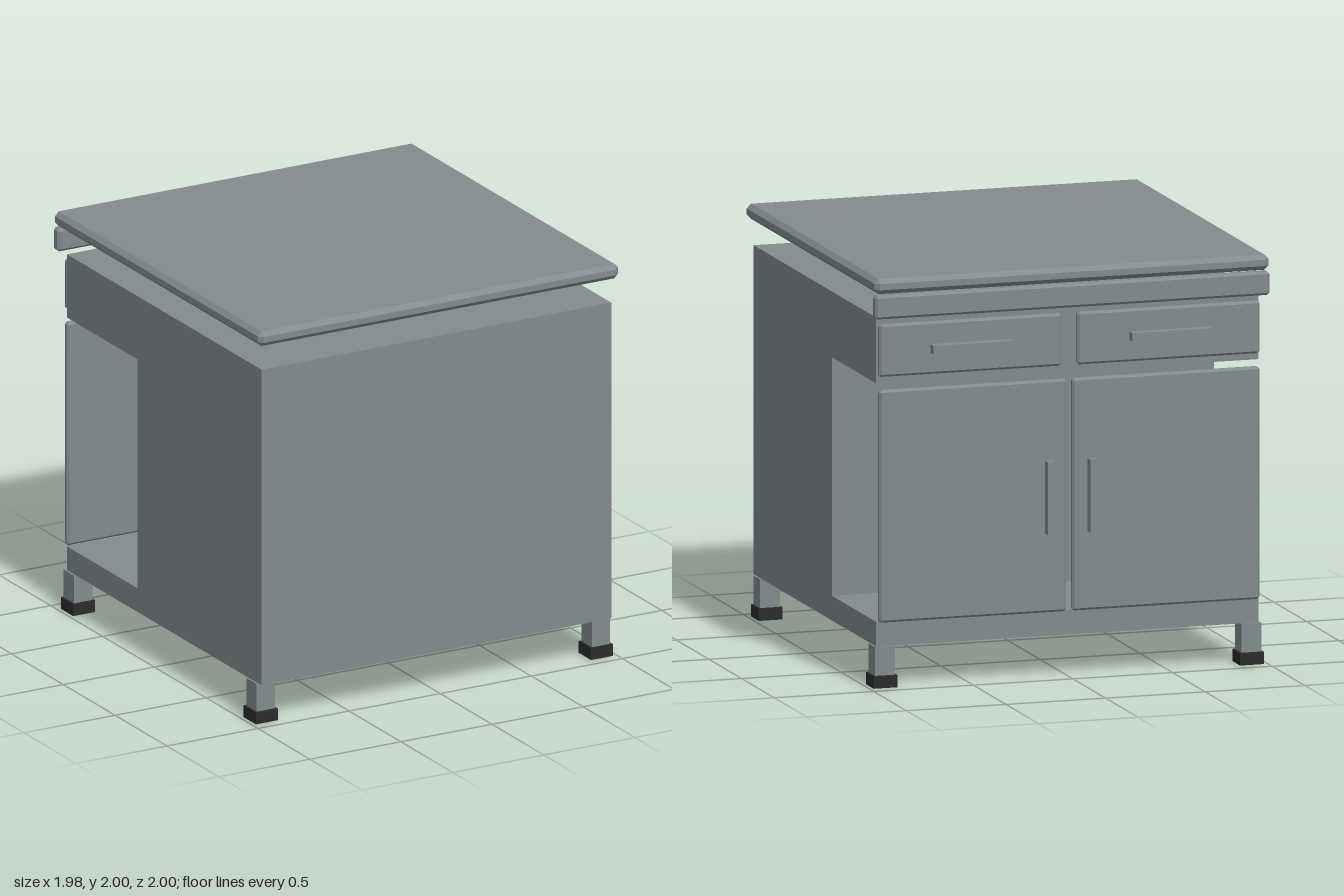
import * as THREE from 'three';
import { ConvexGeometry } from 'three/addons/geometries/ConvexGeometry.js';

const steel = new THREE.MeshStandardMaterial({ color: 0x838b8e, side: THREE.DoubleSide });
steel.name = 'brushed steel';
const rubber = new THREE.MeshStandardMaterial({ color: 0x2c2c2c });
rubber.name = 'black rubber';

// Box with all twelve edges chamfered by c
function chamferBox(w, h, d, c) {
  const points = [];
  for (const sx of [-1, 1]) for (const sy of [-1, 1]) for (const sz of [-1, 1]) {
    const x = w / 2, y = h / 2, z = d / 2;
    points.push(
      new THREE.Vector3(sx * x, sy * (y - c), sz * (z - c)),
      new THREE.Vector3(sx * (x - c), sy * y, sz * (z - c)),
      new THREE.Vector3(sx * (x - c), sy * (y - c), sz * z));
  }
  return new ConvexGeometry(points);
}

// Part filling the given x, y and z ranges, chamfered when c is set
function block(parent, name, [x0, x1], [y0, y1], [z0, z1], material, c = 0) {
  const size = [x1 - x0, y1 - y0, z1 - z0];
  const geometry = c ? chamferBox(...size, c) : new THREE.BoxGeometry(...size);
  const mesh = new THREE.Mesh(geometry, material);
  mesh.name = name;
  mesh.position.set((x0 + x1) / 2, (y0 + y1) / 2, (z0 + z1) / 2);
  parent.add(mesh);
  return mesh;
}

// Sheet-metal carcass: C-shaped side panels joined by flat sheets, open underneath
function buildCarcass() {
  const carcass = new THREE.Group();
  carcass.name = 'carcass';
  const half = 0.96;
  const profile = [ // [z, y]
    [0.965, 0.2], [0.965, 1.8], [-0.915, 1.8], [-0.915, 1.48],
    [-0.235, 1.48], [-0.235, 0.32], [-0.915, 0.32], [-0.915, 0.2],
  ];
  const outline = new THREE.Shape(profile.map(([z, y]) => new THREE.Vector2(-z, y)));
  for (const s of [-1, 1]) {
    const side = new THREE.Mesh(new THREE.ShapeGeometry(outline), steel);
    side.name = 'sidePanel';
    side.rotation.y = Math.PI / 2;
    side.position.x = s * half;
    carcass.add(side);
  }
  const sheet = (name, [z0, y0], [z1, y1]) => {
    const mesh = new THREE.Mesh(new THREE.PlaneGeometry(2 * half, Math.hypot(z1 - z0, y1 - y0)), steel);
    mesh.name = name;
    mesh.position.set(0, (y0 + y1) / 2, (z0 + z1) / 2);
    mesh.rotation.x = Math.atan2(z1 - z0, y1 - y0);
    carcass.add(mesh);
  };
  const names = ['rearSheet', 'topSheet', 'drawerFrame', 'drawerFloor', 'compartmentWall', 'compartmentFloor', 'plinth'];
  names.forEach((name, i) => sheet(name, profile[i], profile[i + 1]));
  sheet('lowerDivider', [-0.235, 0.2], [-0.235, 0.32]);
  return carcass;
}

// Square leg in a rubber foot with a recessed underside
function buildLeg(x, z) {
  const leg = new THREE.Group();
  leg.name = 'leg';
  leg.position.set(x, 0, z);
  block(leg, 'legPost', [-0.05, 0.05], [0.06, 0.2], [-0.05, 0.05], steel);
  const square = (r, Type) => new Type([[-r, -r], [r, -r], [r, r], [-r, r]].map(p => new THREE.Vector2(...p)));
  const outline = square(0.06, THREE.Shape);
  outline.holes.push(square(0.025, THREE.Path));
  const foot = new THREE.Mesh(new THREE.ExtrudeGeometry(outline, { depth: 0.06, bevelEnabled: false }), rubber);
  foot.name = 'rubberFoot';
  foot.rotation.x = -Math.PI / 2;
  leg.add(foot);
  block(leg, 'footRecess', [-0.025, 0.025], [0.04, 0.06], [-0.025, 0.025], rubber);
  return leg;
}

export function createModel() {
  const model = new THREE.Group();
  model.name = 'cabinet';
  model.add(buildCarcass());

  // Raised worktop and the rail beneath its edge
  block(model, 'worktop', [-0.99, 0.99], [1.926, 2], [-1, 1], steel, 0.022);
  block(model, 'edgeRail', [-0.99, 0.99], [1.805, 1.92], [-1, -0.945], steel, 0.012);

  // Mirrored drawers, doors, handles and legs
  for (const s of [-1, 1]) {
    const span = (a, b) => (s > 0 ? [a, b] : [-b, -a]);
    block(model, 'drawerFront', span(0.04, 0.955), [1.515, 1.77], [-0.952, -0.915], steel, 0.011);
    block(model, 'drawerHandle', span(0.3, 0.7), [1.62, 1.662], [-1, -0.95], steel);
    block(model, 'door', span(0.015, 0.955), [0.32, 1.45], [-0.952, -0.915], steel, 0.011);
    block(model, 'doorHandle', span(0.088, 0.125), [0.705, 1.06], [-1, -0.95], steel);
    for (const z of [0.885, -0.877]) model.add(buildLeg(s * 0.92, z));
  }
  return model;
}
